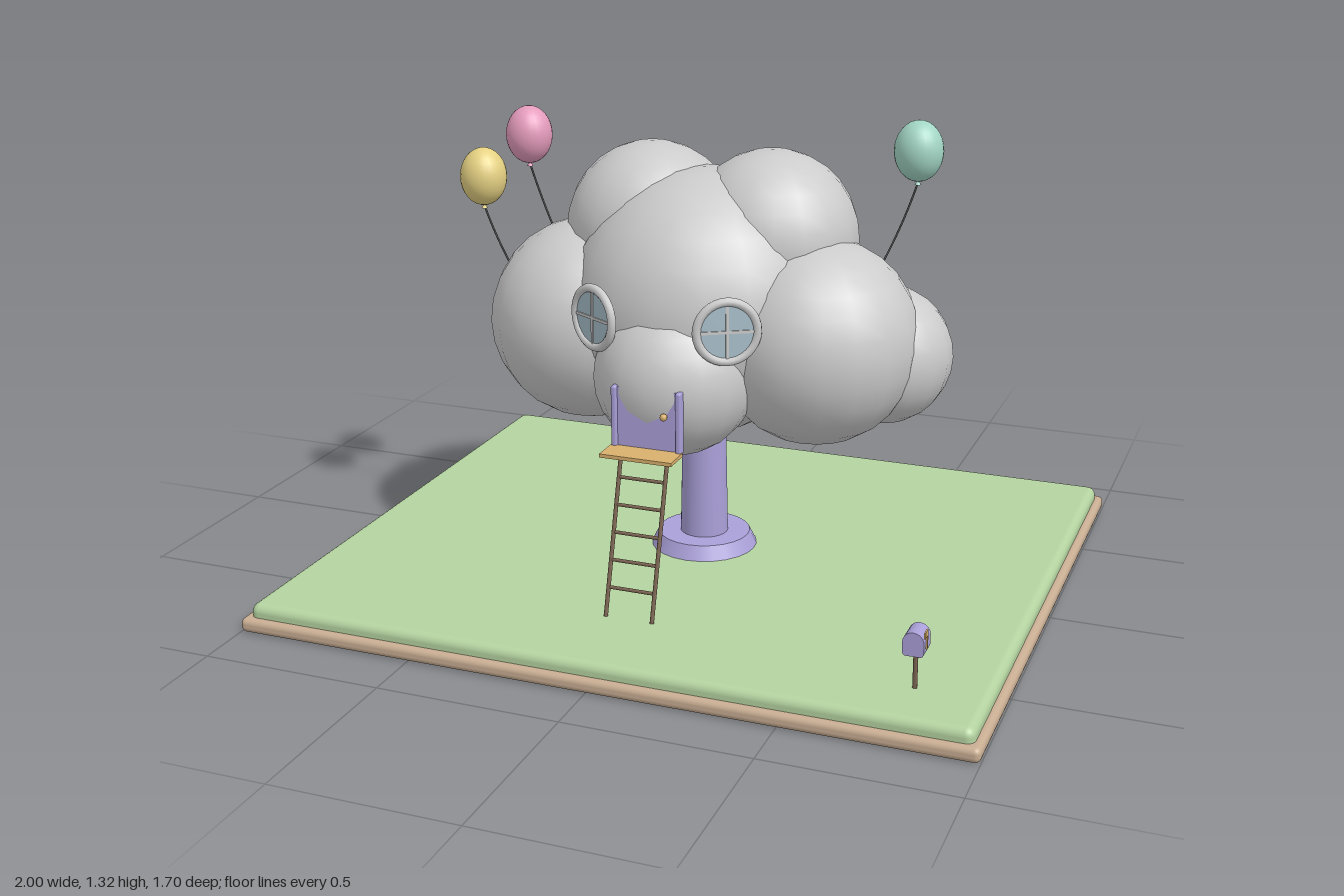
import * as THREE from 'three';
import { RoundedBoxGeometry } from 'three/addons/geometries/RoundedBoxGeometry.js';

const mat = (color) => new THREE.MeshStandardMaterial({ color });
const GREY = mat(0xcccccc), LILAC = mat(0xaaa0d8), GREEN = mat(0xb4d3a0), TAN = mat(0xc8ad92),
  BROWN = mat(0x7a6350), ORANGE = mat(0xd9b06c), GLASS = mat(0xa9c0ca), STRING = mat(0x555555);

function add(parent, name, geometry, material, x = 0, y = 0, z = 0) {
  const mesh = new THREE.Mesh(geometry, material);
  mesh.name = name;
  mesh.position.set(x, y, z);
  parent.add(mesh);
  return mesh;
}

function group(parent, name, x = 0, y = 0, z = 0) {
  const g = new THREE.Group();
  g.name = name;
  g.position.set(x, y, z);
  parent.add(g);
  return g;
}

// Round bar between two points
function bar(parent, name, a, b, r, material) {
  const from = new THREE.Vector3(...a), to = new THREE.Vector3(...b);
  const dir = to.clone().sub(from);
  const mesh = add(parent, name, new THREE.CylinderGeometry(r, r, dir.length(), 8), material);
  mesh.position.copy(from).add(to).multiplyScalar(0.5);
  mesh.quaternion.setFromUnitVectors(new THREE.Vector3(0, 1, 0), dir.normalize());
  return mesh;
}

function buildGround(root) {
  add(root, 'groundBorder', new RoundedBoxGeometry(2, 0.04, 1.7, 3, 0.016), TAN, 0, 0.02, 0);
  add(root, 'lawn', new RoundedBoxGeometry(1.96, 0.06, 1.66, 3, 0.024), GREEN, 0, 0.046, 0);
}

function buildTree(root) {
  add(root, 'trunk', new THREE.CylinderGeometry(0.06, 0.068, 0.43, 24), LILAC, 0, 0.305, 0);
  add(root, 'trunkFoot', new THREE.CylinderGeometry(0.13, 0.15, 0.04, 24), LILAC, 0, 0.095, 0);

  const crown = group(root, 'crown');
  const puff = (x, y, z, r) => {
    const mesh = add(crown, 'leafPuff', new THREE.SphereGeometry(r, 18, 14), GREY, x, y, z);
    mesh.rotation.y = Math.PI / 18;
  };
  puff(0, 0.8, 0, 0.368);
  puff(0, 0.65, 0.218, 0.222);
  for (const s of [-1, 1]) {
    puff(s * 0.33, 0.72, 0.02, 0.284);
    puff(s * 0.488, 0.668, -0.088, 0.192);
    puff(s * 0.175, 0.978, -0.058, 0.24);
  }
}

function buildWindow(root, side) {
  const win = group(root, side > 0 ? 'leftWindow' : 'rightWindow', side * 0.187, 0.815, 0.332);
  win.rotation.y = side * Math.PI / 6;
  add(win, 'windowFrame', new THREE.TorusGeometry(0.08, 0.012, 10, 32), GREY);
  const glass = add(win, 'windowGlass', new THREE.CylinderGeometry(0.078, 0.078, 0.008, 32), GLASS);
  glass.rotation.x = Math.PI / 2;
  add(win, 'windowBar', new THREE.BoxGeometry(0.008, 0.155, 0.014), GREY);
  add(win, 'windowBar', new THREE.BoxGeometry(0.155, 0.008, 0.014), GREY);
}

function buildEntrance(root) {
  const door = group(root, 'door', 0, 0.5, 0.417);
  add(door, 'doorPanel', new THREE.BoxGeometry(0.165, 0.165, 0.016), LILAC, 0, 0.083, 0);
  for (const s of [-1, 1]) {
    add(door, 'doorPost', new RoundedBoxGeometry(0.016, 0.17, 0.026, 2, 0.006), LILAC, s * 0.09, 0.083, 0.005);
  }
  add(door, 'doorKnob', new THREE.SphereGeometry(0.01, 12, 8), ORANGE, 0.052, 0.1, 0.02);
  add(root, 'platform', new THREE.BoxGeometry(0.2, 0.01, 0.08), ORANGE, 0, 0.5, 0.467);

  // Leaning ladder
  const ladder = group(root, 'ladder');
  const top = [0.497, 0.442], foot = [0.075, 0.56];
  for (const s of [-1, 1]) {
    bar(ladder, 'ladderRail', [s * 0.065, ...foot], [s * 0.065, ...top], 0.006, BROWN);
  }
  for (let i = 0; i < 5; i++) {
    const y = 0.15 + i * 0.07;
    const z = THREE.MathUtils.mapLinear(y, foot[0], top[0], foot[1], top[1]);
    bar(ladder, 'ladderRung', [-0.065, y, z], [0.065, y, z], 0.005, BROWN);
  }
}

function buildBalloon(root, color, [x, y, z], [ex, ey, ez]) {
  const balloon = group(root, 'balloon');
  const material = mat(color);
  const skin = add(balloon, 'balloonSkin', new THREE.SphereGeometry(0.066, 24, 16), material, x, y, z);
  skin.scale.y = 1.24;
  add(balloon, 'balloonKnot', new THREE.ConeGeometry(0.009, 0.014, 10), material, x, y - 0.084, z);
  // String with a slight bend
  const curve = new THREE.QuadraticBezierCurve3(
    new THREE.Vector3(x, y - 0.085, z),
    new THREE.Vector3(x + (ex - x) * 0.4, (y - 0.085 + ey) / 2, z),
    new THREE.Vector3(ex, ey, ez));
  add(balloon, 'balloonString', new THREE.TubeGeometry(curve, 12, 0.0028, 6), STRING);
}

function buildMailbox(root) {
  const box = group(root, 'mailbox', 0.795, 0.075, 0.667);
  add(box, 'mailboxPost', new THREE.CylinderGeometry(0.006, 0.006, 0.11, 10), BROWN, 0, 0.055, 0);
  // Box with an arched roof
  const shape = new THREE.Shape();
  shape.moveTo(-0.02, 0);
  shape.lineTo(0.02, 0);
  shape.quadraticCurveTo(0.027, 0.004, 0.027, 0.012);
  shape.lineTo(0.027, 0.035);
  shape.absarc(0, 0.035, 0.027, 0, Math.PI);
  shape.lineTo(-0.027, 0.012);
  shape.quadraticCurveTo(-0.027, 0.004, -0.02, 0);
  const body = new THREE.ExtrudeGeometry(shape, { depth: 0.064, bevelEnabled: false });
  add(box, 'mailboxBody', body, LILAC, 0, 0.098, -0.032);
  add(box, 'flagArm', new THREE.BoxGeometry(0.004, 0.05, 0.006), ORANGE, 0.029, 0.14, 0.012);
  add(box, 'flag', new THREE.BoxGeometry(0.004, 0.016, 0.026), ORANGE, 0.029, 0.158, 0.022);
}

export function createModel() {
  const root = new THREE.Group();
  root.name = 'treeHouse';
  buildGround(root);
  buildTree(root);
  for (const side of [-1, 1]) buildWindow(root, side);
  buildEntrance(root);
  buildBalloon(root, 0xe59cbd, [-0.56, 1.205, -0.08], [-0.485, 0.94, -0.07]);
  buildBalloon(root, 0xe6d283, [-0.65, 1.1, 0.035], [-0.57, 0.84, 0.03]);
  buildBalloon(root, 0xa3d6c5, [0.57, 1.235, -0.09], [0.485, 0.93, -0.08]);
  buildMailbox(root);
  return root;
}
